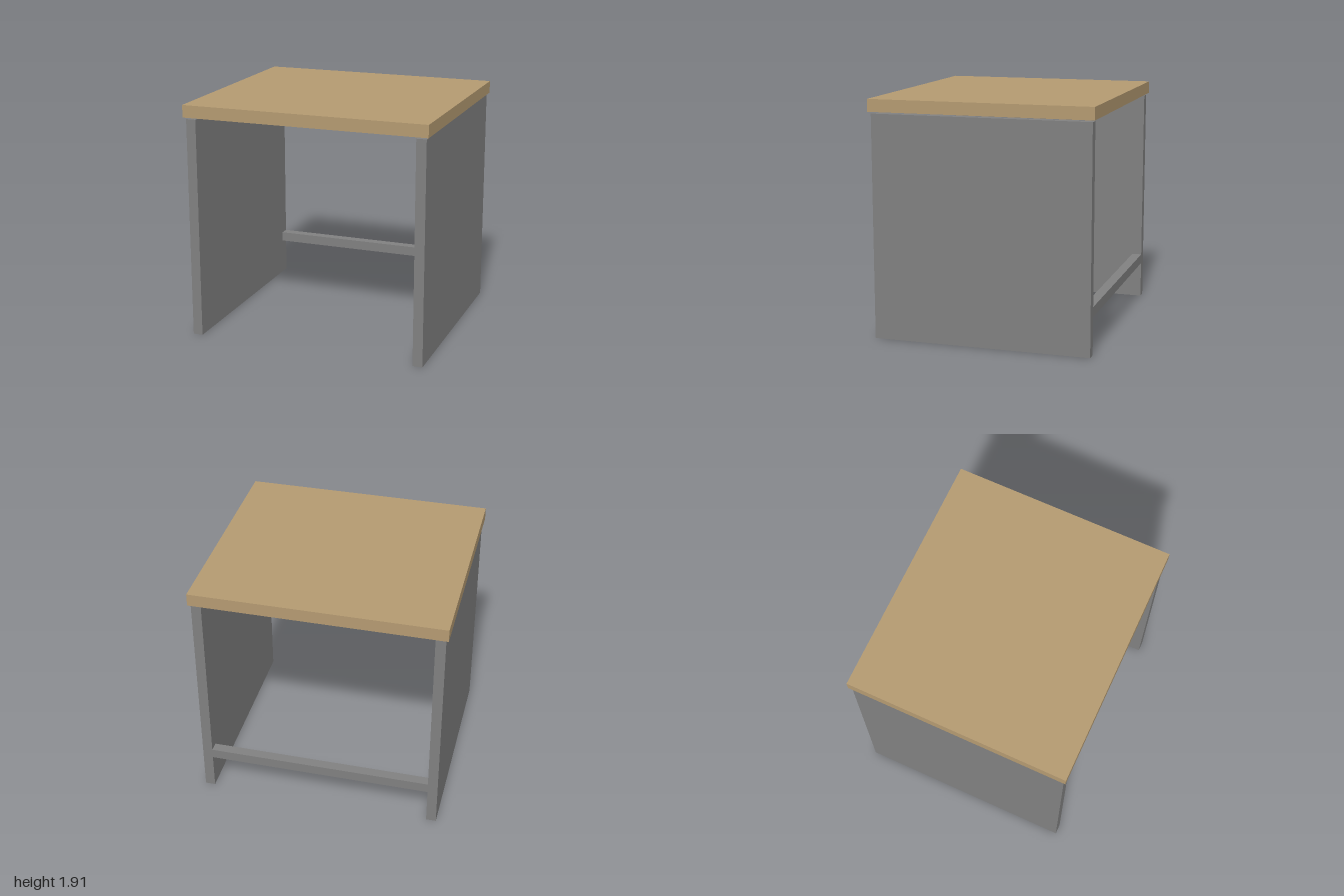
import * as THREE from 'three';

export function createModel() {
  const group = new THREE.Group();
  const wood = new THREE.MeshStandardMaterial({ color: 0xb49a71 });
  const metal = new THREE.MeshStandardMaterial({ color: 0x808080 });

  const addBox = (name, material, size, position) => {
    const mesh = new THREE.Mesh(new THREE.BoxGeometry(...size), material);
    mesh.name = name;
    mesh.position.set(...position);
    group.add(mesh);
  };

  const panelHeight = 1.8, panelDepth = 1.76, thickness = 0.08;

  // Table top, floating just above the side panels
  addBox('tableTop', wood, [2, 0.1, 1.8], [0, 1.865, 0]);

  // Solid side panels
  for (const [name, side] of [['leftPanel', 1], ['rightPanel', -1]]) {
    addBox(name, metal, [thickness, panelHeight, panelDepth], [side * 0.94, panelHeight / 2, 0]);
  }

  // Low rail between the panels, flush with their back edges
  addBox('backRail', metal, [1.8, 0.08, thickness], [0, 0.34, -(panelDepth - thickness) / 2]);

  return group;
}
